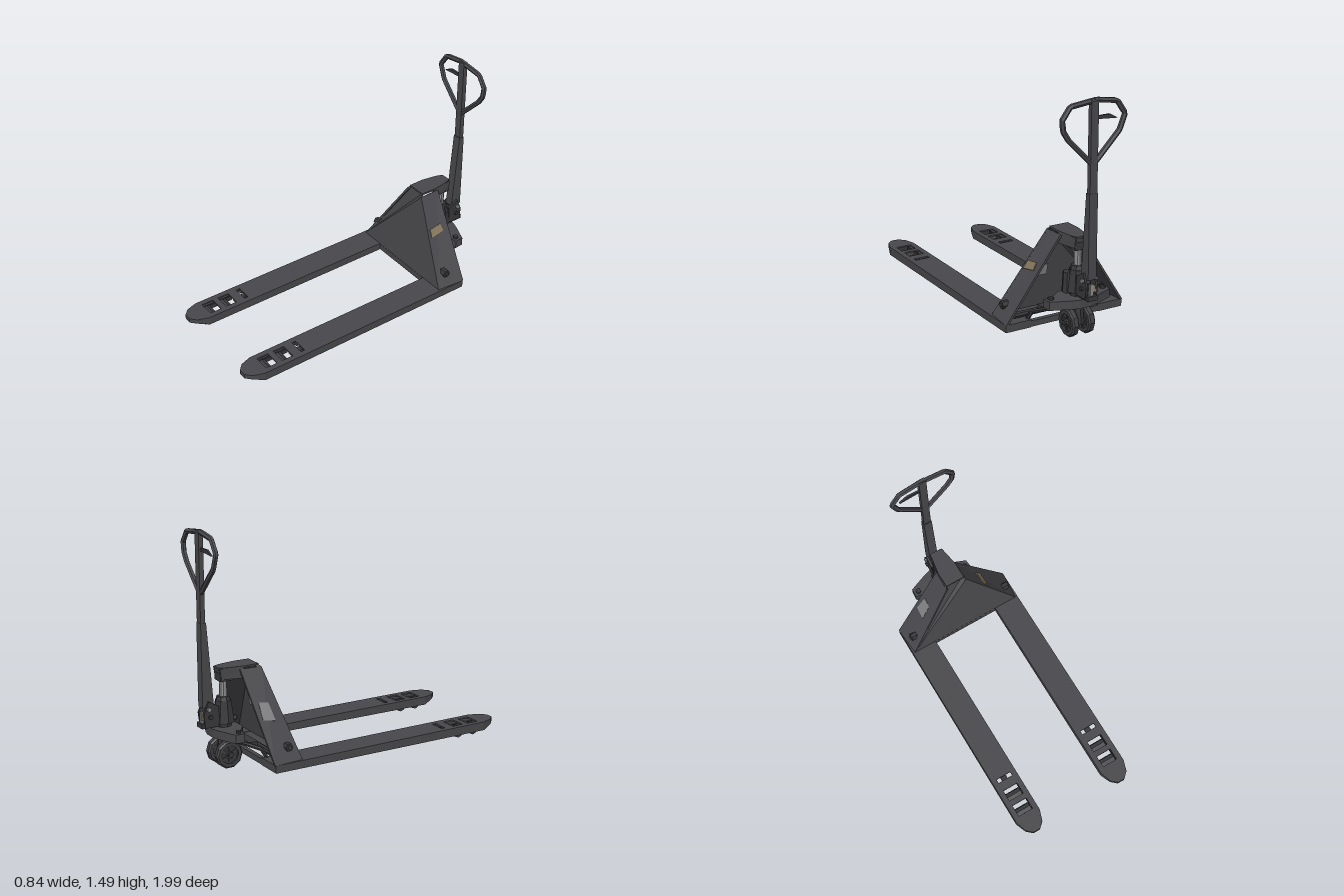
import * as THREE from 'three';

const mat = (name, color, side = THREE.FrontSide) => {
  const m = new THREE.MeshStandardMaterial({ color, side, flatShading: true });
  m.name = name;
  return m;
};

export function createModel() {
  const root = new THREE.Group();
  root.name = 'palletJack';
  const steel = mat('darkSteel', 0x48474b);
  const dark = mat('blackIron', 0x38383b);
  const rubber = mat('wheelPolymer', 0x3f3f42);
  const chrome = mat('bareMetal', 0x8c8d8f);
  const tan = mat('tanLabel', 0x85765a);
  const grey = mat('greyLabel', 0x808082);

  const add = (name, geo, material, x = 0, y = 0, z = 0, parent = root) => {
    const m = new THREE.Mesh(geo, material);
    m.name = name;
    m.position.set(x, y, z);
    parent.add(m);
    return m;
  };
  const box = (name, material, x0, x1, y0, y1, z0, z1, parent = root) =>
    add(name, new THREE.BoxGeometry(x1 - x0, y1 - y0, z1 - z0), material,
      (x0 + x1) / 2, (y0 + y1) / 2, (z0 + z1) / 2, parent);
  const cyl = (name, material, r0, r1, h, sides, x, y, z, axis = 'y', parent = root) => {
    const g = new THREE.CylinderGeometry(r0, r1, h, sides);
    if (axis === 'x') g.rotateZ(Math.PI / 2);
    if (axis === 'z') g.rotateX(Math.PI / 2);
    return add(name, g, material, x, y, z, parent);
  };
  // Solid between a face loop (counterclockwise from outside) and its offset copy
  const prism = (loop, off, side = 1) => {
    let a = loop.map(p => [p[0] * side, p[1], p[2]]);
    let b = loop.map(p => [(p[0] + off[0]) * side, p[1] + off[1], p[2] + off[2]]);
    if (side < 0) { a.reverse(); b.reverse(); }
    const v = [], n = a.length;
    for (let i = 0; i < n; i++) {
      const j = (i + 1) % n;
      v.push(a[i], b[i], b[j], a[i], b[j], a[j]);
      if (i > 0 && i < n - 1) v.push(a[0], a[i], a[j], b[0], b[j], b[i]);
    }
    const g = new THREE.BufferGeometry();
    g.setAttribute('position', new THREE.Float32BufferAttribute(v.flat(), 3));
    g.computeVertexNormals();
    return g;
  };
  // Plan outline [x, z] raised upward by depth
  const plan = (pts, depth, holes = []) => {
    const to = p => new THREE.Vector2(p[0], -p[1]);
    const s = new THREE.Shape(pts.map(to));
    holes.forEach(h => s.holes.push(new THREE.Path(h.map(to))));
    return new THREE.ExtrudeGeometry(s, { depth, bevelEnabled: false }).rotateX(-Math.PI / 2);
  };
  const rect = (x0, x1, z0, z1) => [[x0, z0], [x1, z0], [x1, z1], [x0, z1]];
  const rod = (name, material, pts, r, sides = 6, parent = root) => {
    const path = new THREE.CurvePath();
    const v = pts.map(p => new THREE.Vector3(...p));
    for (let i = 1; i < v.length; i++) path.add(new THREE.LineCurve3(v[i - 1], v[i]));
    return add(name, new THREE.TubeGeometry(path, (v.length - 1) * 8, r, sides), material, 0, 0, 0, parent);
  };

  // Forks: slotted top sheet, skirt walls, rollers and push rod underneath
  const outline = k => [[-.09 + k, -.7 + k], [-.09 + k, .88 - k / 2], [-.065 + k, .955 - k], [-.025, .992 - k],
    [.025, .992 - k], [.065 - k, .955 - k], [.09 - k, .88 - k / 2], [.09 - k, -.7 + k]];
  for (const s of [-1, 1]) {
    const fork = new THREE.Group();
    fork.name = s > 0 ? 'leftFork' : 'rightFork';
    fork.position.x = s * .33;
    root.add(fork);
    const slots = [[.56, .588], [.65, .73], [.768, .85]].map(([a, b]) => rect(-.053, .053, a, b));
    add('forkTop', plan(outline(0), .01, slots), steel, 0, .086, 0, fork);
    const skirt = plan(outline(0), .052, [outline(.012)]);
    const p = skirt.attributes.position;
    for (let i = 0; i < p.count; i++) // lower edge drops slightly forward, then rises at the toe
      if (p.getY(i) < .02) p.setY(i, p.getZ(i) > .9 ? .03 : p.getZ(i) > .8 ? .004 : .012);
    skirt.computeVertexNormals();
    add('forkSkirt', skirt, steel, 0, .035, 0, fork);
    for (const e of [-1, 1]) {
      box('lowerLip', steel, e * .068 - .012, e * .068 + .012, .046, .053, -.69, .55, fork);
      box('rollerCarrier', dark, e * .06 - .005, e * .06 + .005, .03, .062, .62, .9, fork);
    }
    box('pushRod', dark, -.02, .02, .055, .075, -.68, .62, fork);
    box('rodBracket', tan, -.03, .03, .045, .07, .59, .63, fork);
    for (const z of [.7, .82]) {
      cyl('loadRoller', rubber, .034, .034, .1, 8, 0, .042, z, 'x', fork);
      cyl('rollerPin', chrome, .009, .009, .16, 6, 0, .042, z, 'x', fork);
    }
    box('toeBlock', dark, -.045, .045, .05, .085, .88, .93, fork);
  }

  // Cross members joining the forks
  box('frontCrossbar', steel, -.26, .26, .05, .092, -.525, -.505);
  box('crossPlate', steel, -.26, .26, .083, .093, -.57, -.505);
  box('rearCrossbar', steel, -.26, .26, .05, .088, -.7, -.67);
  cyl('torsionTube', dark, .02, .02, .66, 8, 0, .12, -.64, 'x');

  // Triangular front plate and sloping side flanges
  add('frontPlate', prism([[-.405, .095, -.505], [.405, .095, -.505], [.075, .62, -.6], [.06, .637, -.625],
    [-.06, .637, -.625], [-.075, .62, -.6]], [0, 0, -.012]), steel);
  const flange = [[.405, .095, -.505], [.422, .095, -.705], [.07, .622, -.745], [.075, .62, -.6]];
  const onFlange = (u, v) => {
    const c = flange.map(p => new THREE.Vector3(...p));
    const q = c[0].clone().lerp(c[1], u).lerp(c[3].clone().lerp(c[2], u), v);
    return [q.x + .004, q.y + .003, q.z];
  };
  const label = (u0, u1, v0, v1) => [onFlange(u0, v0), onFlange(u1, v0 + .03), onFlange(u1 - .08, v1), onFlange(u0, v1 - .02)];
  for (const s of [-1, 1]) {
    add('sideFlange', prism(flange, [-.012, -.008, 0], s), steel);
    cyl('flangeBolt', dark, .026, .026, .055, 6, s * .358, .18, -.585, 'x');
    cyl('boltPin', steel, .012, .012, .07, 6, s * .358, .18, -.585, 'x');
  }
  add('tanLabel', prism(label(.12, .72, .55, .66), [-.005, -.004, 0], 1), tan);
  add('greyLabel', prism(label(.38, .85, .43, .64), [-.005, -.004, 0], -1), grey);
  box('innerLabel', grey, .05, .15, .31, .38, -.572, -.566).rotation.x = -.18;

  // Head bracket reaching back over the lift pump
  add('headTop', plan([[-.065, -.615], [.065, -.615], [.068, -.72], [.052, -.82], [.035, -.87],
    [-.035, -.87], [-.052, -.82], [-.068, -.72]].reverse(), .012), steel, 0, .626, 0);
  for (const s of [-1, 1])
    add('headCheek', prism([[.068, .56, -.72], [.045, .565, -.86], [.045, .632, -.87], [.066, .632, -.72]],
      [-.012, 0, 0], s), steel);
  box('headBlock', dark, -.04, .04, .55, .6, -.865, -.77);

  // Lift pump
  cyl('pumpRod', chrome, .024, .024, .16, 10, 0, .49, -.83);
  cyl('pumpCollar', dark, .04, .05, .03, 8, 0, .435, -.83);
  cyl('pumpBody', dark, .052, .07, .14, 8, 0, .355, -.83);
  cyl('pumpReservoir', dark, .035, .042, .13, 8, .045, .34, -.8);
  cyl('pumpNeck', dark, .05, .05, .05, 8, 0, .27, -.83);
  add('steeringPlate', plan([[-.22, -.8], [-.15, -.79], [-.08, -.74], [.08, -.74], [.15, -.79], [.22, -.8],
    [.215, -.86], [.19, -.87], [.09, -.91], [.04, -.925], [-.04, -.925], [-.09, -.91], [-.19, -.87], [-.215, -.86]],
    .055), steel, 0, .205, 0);
  for (const s of [-1, 1]) {
    cyl('plateBolt', dark, .018, .018, .08, 6, s * .185, .235, -.825);
    rod('steeringLink', dark, [[s * .19, .2, -.82], [s * .205, .18, -.77], [s * .24, .15, -.7], [s * .25, .08, -.66]], .013);
  }
  box('lowerLink', dark, -.2, .2, .16, .19, -.76, -.7);

  // Steering wheels with hubs and spokes
  cyl('wheelFork', dark, .035, .045, .15, 8, 0, .15, -.83);
  cyl('axle', dark, .018, .018, .19, 8, 0, .092, -.83, 'x');
  for (const s of [-1, 1]) {
    const wheel = new THREE.Group();
    wheel.name = 'steerWheel';
    wheel.position.set(s * .057, .088, -.83);
    root.add(wheel);
    const ring = new THREE.LatheGeometry([[.058, -.023], [.08, -.023], [.09, -.014], [.09, .014], [.08, .023],
      [.058, .023], [.058, -.023]].map(p => new THREE.Vector2(...p)), 10).rotateZ(Math.PI / 2);
    add('tyre', ring, rubber, 0, 0, 0, wheel);
    cyl('wheelDisc', dark, .06, .06, .024, 10, 0, 0, 0, 'x', wheel);
    cyl('hub', steel, .024, .024, .052, 8, 0, 0, 0, 'x', wheel);
    for (let i = 0; i < 3; i++)
      add('spoke', new THREE.BoxGeometry(.036, .12, .012), rubber, 0, 0, 0, wheel).rotation.x = i * Math.PI / 3;
  }

  // Handle pivot and linkage
  for (const s of [-1, 1]) {
    add('pivotCheek', prism([[.042, .28, -.88], [.042, .28, -.975], [.042, .36, -.985], [.042, .44, -.95], [.042, .4, -.88]],
      [-.014, 0, 0], s), dark);
    cyl('pivotNut', chrome, .014, .014, .02, 6, s * .045, .39, -.95, 'x');
  }
  cyl('pivotPin', dark, .014, .014, .11, 8, 0, .34, -.94, 'x');
  cyl('pumpRoller', dark, .03, .03, .04, 8, 0, .36, -.91, 'x');
  box('pivotBase', dark, -.035, .035, .27, .3, -.995, -.85);
  box('releaseValve', chrome, -.012, .012, .3, .37, -.985, -.97);
  box('valveTab', tan, -.03, -.012, .32, .36, -.982, -.972);

  // Handle: tapered lower post, slim upper bar, grip loop and lever
  add('handlePost', prism([[.029, .4, -.908], [.029, .4, -.985], [.029, .93, -.984], [.029, .93, -.948]],
    [-.058, 0, 0]), steel);
  box('handleBar', steel, -.025, .025, .9, 1.49, -.982, -.952);
  rod('gripLoop', steel, [[-.015, 1.115, -.967], [-.18, 1.285, -.967], [-.217, 1.38, -.967], [-.16, 1.462, -.967],
    [-.02, 1.483, -.967], [.16, 1.462, -.967], [.213, 1.39, -.967], [.205, 1.325, -.967], [.17, 1.27, -.967], [.015, 1.115, -.967]], .017, 6);
  add('releaseLever', prism([[-.165, 1.36, -.96], [-.1, 1.37, -.96], [-.02, 1.37, -.96], [-.02, 1.388, -.96], [-.11, 1.39, -.96]],
    [0, 0, -.014]), dark);
  return root;
}
